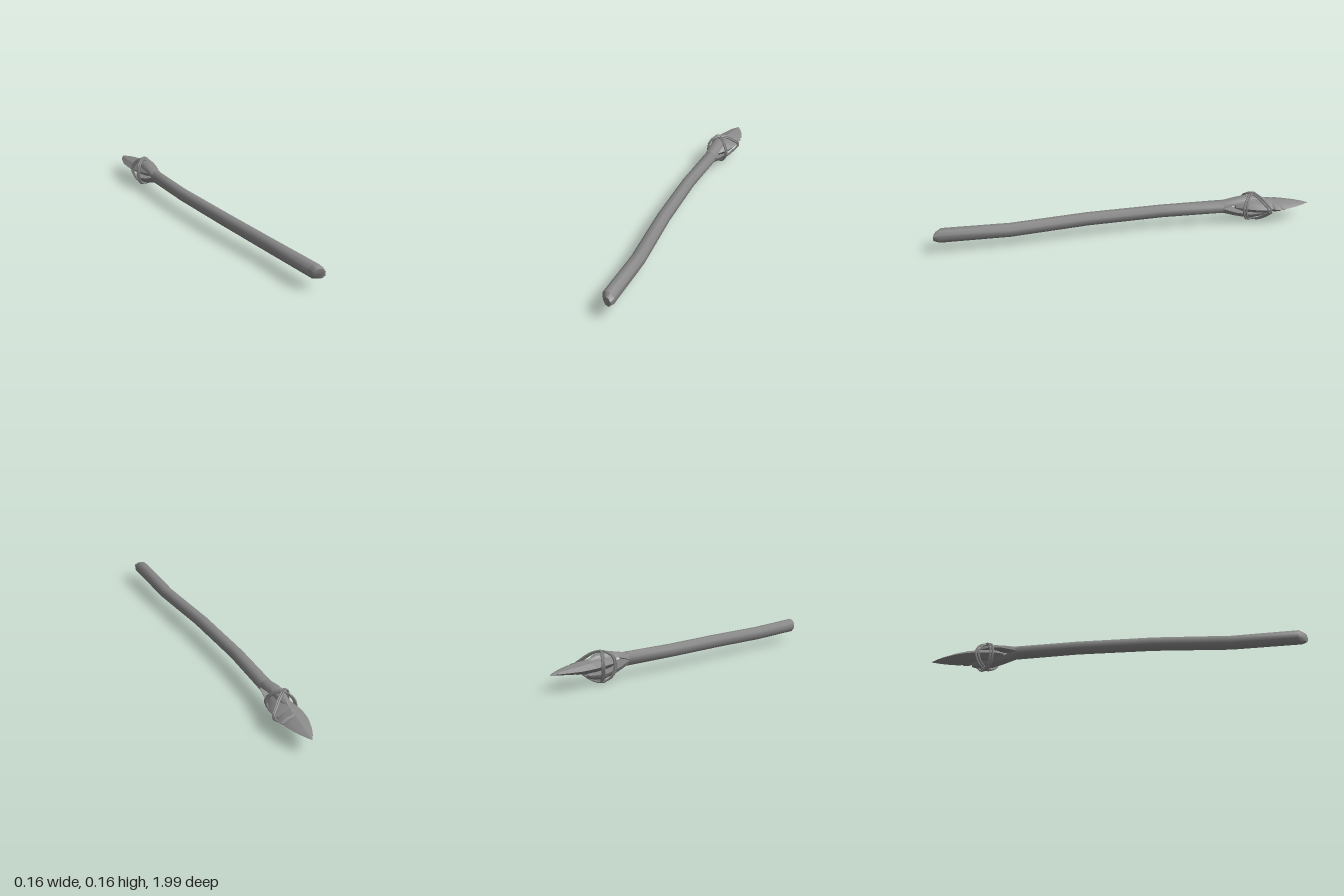
import * as THREE from 'three';
import { toCreasedNormals } from 'three/addons/utils/BufferGeometryUtils.js';

const material = new THREE.MeshStandardMaterial({ color: 0x888888 });

// Skin closed rings (counterclockwise seen from +z, running from +z to -z) and cap both ends
function loft(rings, crease) {
  const n = rings[0].length, last = rings.length - 1;
  const pos = rings.flat(2), index = [];
  for (let i = 0; i < last; i++) {
    for (let j = 0; j < n; j++) {
      const k = (j + 1) % n, a = i * n, b = a + n;
      index.push(a + j, b + j, a + k, a + k, b + j, b + k);
    }
  }
  for (let j = 1; j < n - 1; j++) {
    index.push(0, j, j + 1, last * n, last * n + j + 1, last * n + j);
  }
  const g = new THREE.BufferGeometry();
  g.setAttribute('position', new THREE.Float32BufferAttribute(pos, 3));
  g.setIndex(index);
  return toCreasedNormals(g, crease);
}

function add(parent, name, geometry) {
  const mesh = new THREE.Mesh(geometry, material);
  mesh.name = name;
  parent.add(mesh);
}

// Gently bent wooden pole with a rough-cut butt: [z, x, y, radius, slant of the cut]
function shaftGeometry() {
  const stations = [
    [0.98, 0.024, 0.088, 0.024, 0.5], [0.953, 0.019, 0.09, 0.037, 0.4],
    [0.6, 0.013, 0.083, 0.036, 0], [0.2, -0.015, 0.092, 0.035, 0],
    [-0.2, -0.028, 0.093, 0.034, 0], [-0.53, -0.019, 0.093, 0.035, 0]
  ];
  const sides = 8;
  return loft(stations.map(([z, x, y, r, slant]) =>
    Array.from({ length: sides }, (_, j) => {
      const a = ((j + 0.5) / sides) * Math.PI * 2, dx = r * Math.cos(a);
      return [x + dx, y + r * Math.sin(a), z + dx * slant];
    })), 0.85);
}

// Half-round prong: [z, x, half width, inner y, outer y]
function prongGeometry(stations) {
  const steps = 5;
  return loft(stations.map(([z, x, w, inner, outer]) => {
    const start = outer > inner ? 0 : Math.PI;
    return Array.from({ length: steps + 1 }, (_, j) => {
      const a = start + (j / steps) * Math.PI;
      return [x + w * Math.cos(a), inner + Math.abs(outer - inner) * Math.sin(a), z];
    });
  }), 0.7);
}

// Chipped stone point: [z, left edge x, right edge x, edge y, upper ridge y, lower ridge y]
function bladeGeometry() {
  const stations = [
    [-0.6, -0.03, 0.006, 0.09, 0.102, 0.078], [-0.645, -0.054, 0.036, 0.09, 0.12, 0.06],
    [-0.71, -0.066, 0.06, 0.089, 0.125, 0.053], [-0.77, -0.074, 0.069, 0.087, 0.122, 0.052],
    [-0.79, -0.074, 0.056, 0.087, 0.12, 0.053], [-0.805, -0.073, 0.068, 0.086, 0.117, 0.055],
    [-0.83, -0.071, 0.07, 0.085, 0.117, 0.057], [-0.842, -0.069, 0.056, 0.085, 0.113, 0.06],
    [-0.86, -0.066, 0.062, 0.084, 0.111, 0.062], [-0.925, -0.044, 0.041, 0.083, 0.1, 0.069],
    [-0.965, -0.025, 0.022, 0.082, 0.091, 0.074], [-1, -0.003, 0.001, 0.081, 0.082, 0.08]
  ];
  return loft(stations.map(([z, l, r, y, top, bottom]) => {
    const at = (f, toward, amount) => [l + (r - l) * f, y + (toward - y) * amount, z];
    return [at(1, y, 0), at(0.8, top, 0.6), at(0.5, top, 1), at(0.2, top, 0.7),
      at(0, y, 0), at(0.2, bottom, 0.65), at(0.5, bottom, 1), at(0.8, bottom, 0.7)];
  }), 0.35);
}

// Cord loop around the fork, tilted so z changes with x
function cordGeometry(outline, zLeft, zRight, scale) {
  const points = outline.map(([x, y]) => new THREE.Vector3(
    x * scale, 0.081 + (y - 0.081) * scale,
    THREE.MathUtils.mapLinear(x, -0.07, 0.07, zLeft, zRight)));
  const curve = new THREE.CatmullRomCurve3(points, true, 'centripetal');
  return new THREE.TubeGeometry(curve, 20, 0.0055, 5, true);
}

export function createModel() {
  const spear = new THREE.Group();
  spear.name = 'spear';
  add(spear, 'shaft', shaftGeometry());

  // Split end of the pole
  const fork = new THREE.Group();
  fork.name = 'fork';
  add(fork, 'upperProng', prongGeometry([
    [-0.525, -0.019, 0.034, 0.093, 0.126], [-0.6, -0.018, 0.036, 0.113, 0.139],
    [-0.67, -0.016, 0.034, 0.122, 0.149], [-0.73, -0.013, 0.022, 0.118, 0.139],
    [-0.78, -0.011, 0.002, 0.112, 0.116]
  ]));
  add(fork, 'lowerProng', prongGeometry([
    [-0.525, -0.019, 0.034, 0.093, 0.06], [-0.6, -0.018, 0.036, 0.066, 0.036],
    [-0.68, -0.016, 0.035, 0.048, 0.016], [-0.74, -0.014, 0.027, 0.047, 0.022],
    [-0.77, -0.012, 0.014, 0.046, 0.031]
  ]));
  spear.add(fork);

  add(spear, 'blade', bladeGeometry());

  // Crossing lashings, each wound twice
  const lashing = new THREE.Group();
  lashing.name = 'lashing';
  const wide = [
    [-0.074, 0.09], [-0.064, 0.13], [-0.03, 0.155], [0.01, 0.146], [0.045, 0.118],
    [0.074, 0.085], [0.042, 0.043], [0.005, 0.013], [-0.03, 0.006], [-0.062, 0.034]
  ];
  const narrow = [
    [-0.072, 0.09], [-0.057, 0.13], [-0.025, 0.154], [0.008, 0.143], [0.03, 0.12],
    [0.042, 0.088], [0.03, 0.045], [0.005, 0.015], [-0.028, 0.008], [-0.058, 0.04]
  ];
  [1, 0.96].forEach((scale, i) => {
    const shift = i * 0.014;
    add(lashing, 'forwardCord', cordGeometry(wide, -0.66 + shift, -0.775 + shift, scale));
    add(lashing, 'backwardCord', cordGeometry(narrow, -0.735 + shift, -0.625 + shift, scale));
  });
  spear.add(lashing);
  return spear;
}
